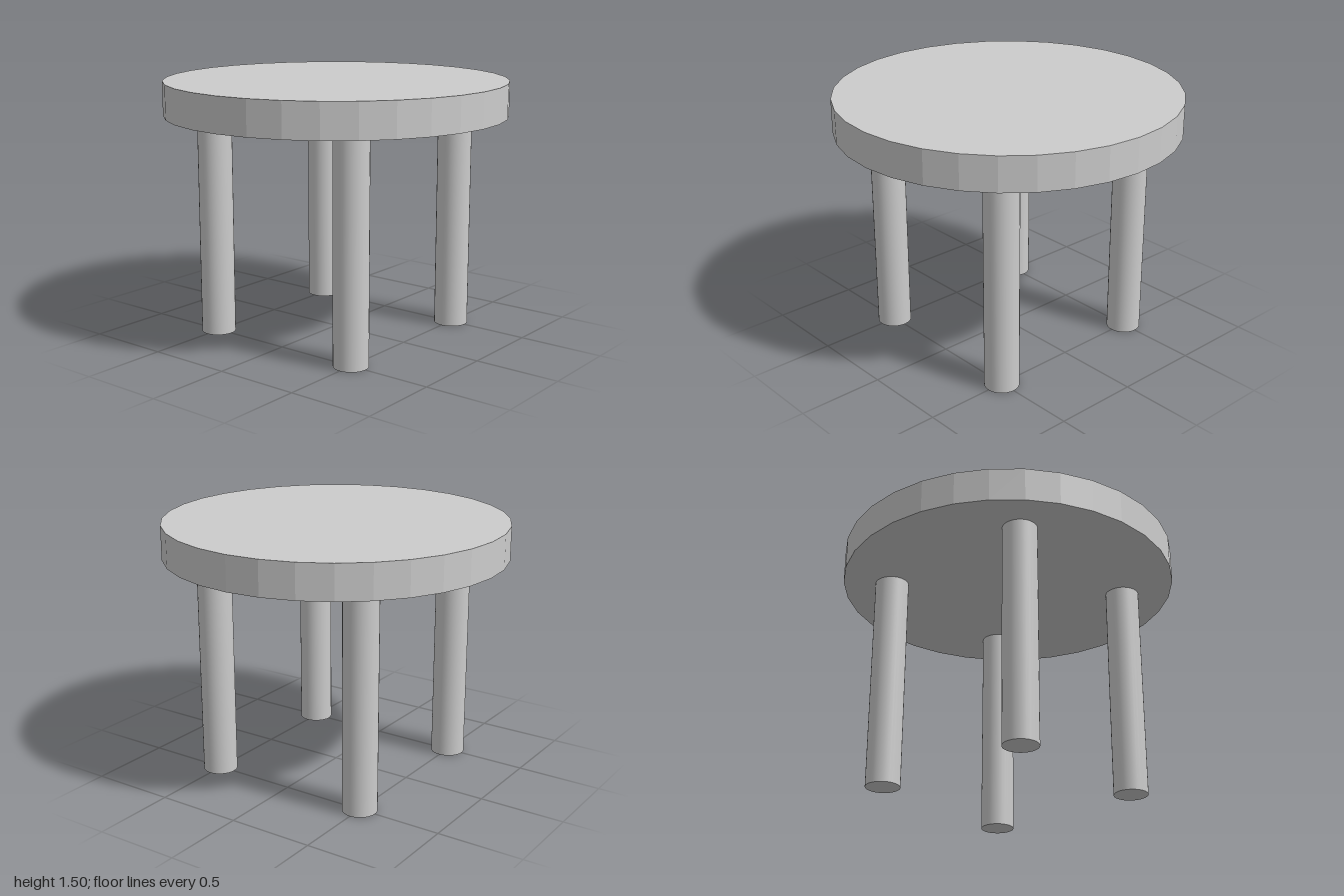
import * as THREE from 'three';

export function createModel() {
  const model = new THREE.Group();
  model.name = 'roundTable';

  const grey = new THREE.MeshStandardMaterial({ color: 0xcccccc });
  grey.name = 'light grey';

  // Faceted round top: unshared vertices give each side its own normal
  const topGeometry = new THREE.CylinderGeometry(1, 1, 0.2, 32).toNonIndexed();
  topGeometry.computeVertexNormals();
  const top = new THREE.Mesh(topGeometry, grey);
  top.name = 'tableTop';
  top.position.y = 1.4;
  model.add(top);

  // Four smooth round legs
  const legHeight = 1.3;
  const legGeometry = new THREE.CylinderGeometry(0.1, 0.1, legHeight, 32);
  for (const [side, x] of [['Left', 0.5], ['Right', -0.5]]) {
    for (const [end, z] of [['front', 0.5], ['back', -0.5]]) {
      const leg = new THREE.Mesh(legGeometry, grey);
      leg.name = `${end}${side}Leg`;
      leg.position.set(x, legHeight / 2, z);
      model.add(leg);
    }
  }

  return model;
}
